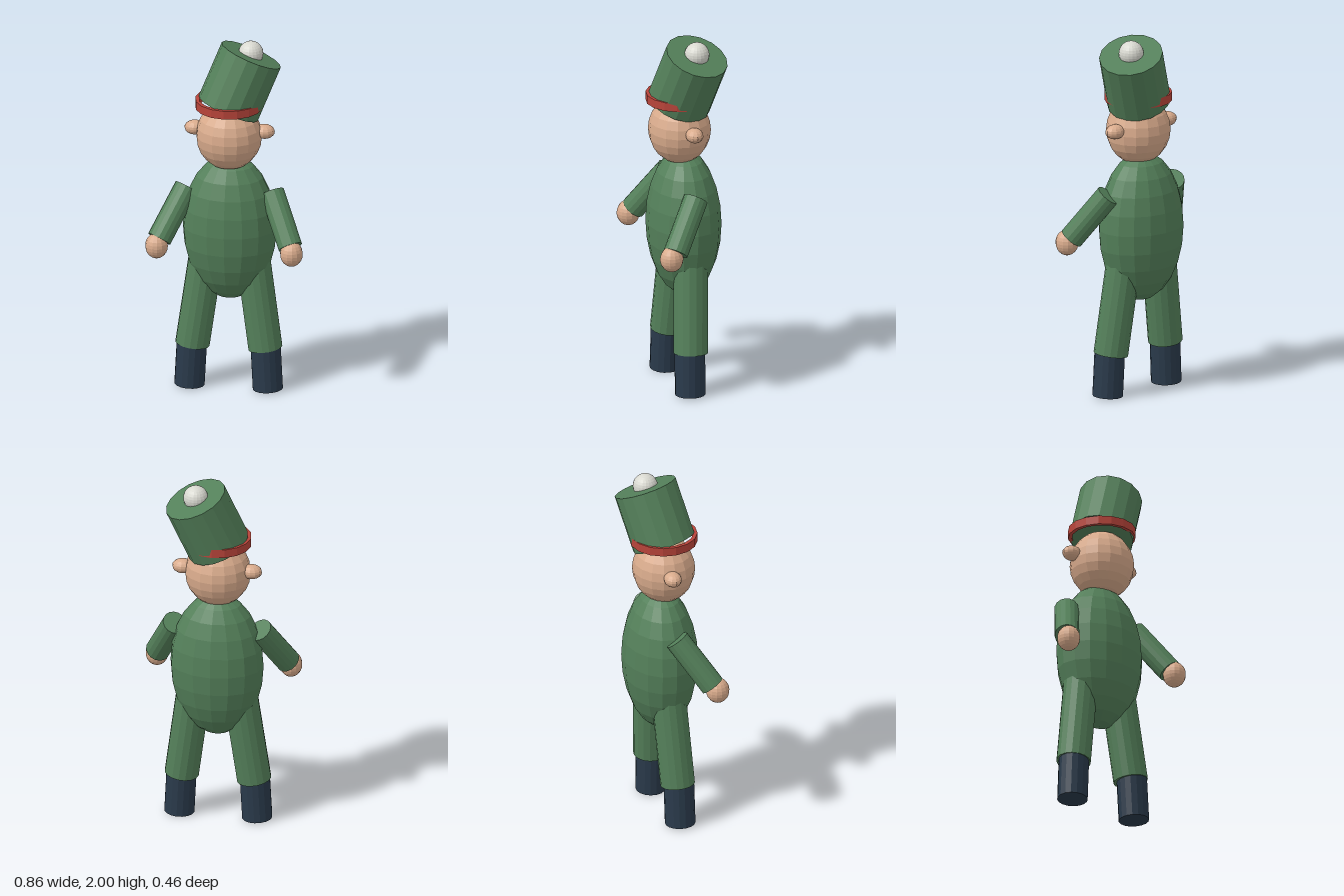
import * as THREE from 'three';

const paint = (name, color) => {
  const m = new THREE.MeshStandardMaterial({ color, flatShading: true });
  m.name = name;
  return m;
};

export function createModel() {
  const green = paint('uniform green', 0x54805a);
  const skin = paint('skin', 0xd9ab8c);
  const red = paint('band red', 0xb8443a);
  const white = paint('pompom white', 0xd8d8d0);
  const navy = paint('boot navy', 0x2a3a4b);

  const model = new THREE.Group();
  model.name = 'toySoldier';

  const add = (name, geometry, material) => {
    const mesh = new THREE.Mesh(geometry, material);
    mesh.name = name;
    model.add(mesh);
    return mesh;
  };

  // Ellipsoid from centre and three radii
  const ball = (name, material, centre, radii, w = 16, h = 12) => {
    const mesh = add(name, new THREE.SphereGeometry(1, w, h).scale(...radii), material);
    mesh.position.set(...centre);
    return mesh;
  };

  // Capped cylinder running from a up to b
  const rod = (name, material, a, b, radius, sides = 16) => {
    const from = new THREE.Vector3(...a);
    const to = new THREE.Vector3(...b);
    const axis = to.clone().sub(from);
    const mesh = add(name, new THREE.CylinderGeometry(radius, radius, axis.length(), sides), material);
    mesh.position.copy(from).add(to).multiplyScalar(0.5);
    mesh.quaternion.setFromUnitVectors(new THREE.Vector3(0, 1, 0), axis.normalize());
    return mesh;
  };

  // Body and head
  ball('body', green, [0, 0.93, -0.023], [0.257, 0.415, 0.2]);
  ball('head', skin, [0, 1.47, 0], [0.18, 0.19, 0.17]);

  // Tilted hat with pompom
  rod('hat', green, [-0.004, 1.628, 0], [0.112, 1.922, -0.063], 0.174);
  ball('pompom', white, [0.11, 1.932, -0.063], [0.068, 0.068, 0.068], 20, 14);

  // Level ring around the hat's lower edge
  const bandProfile = [[0.163, 1.636], [0.184, 1.636], [0.184, 1.684], [0.163, 1.684], [0.163, 1.636]]
    .map(([x, y]) => new THREE.Vector2(x, y));
  add('hatBand', new THREE.LatheGeometry(bandProfile, 16), red);

  // Mirrored ears and limbs
  for (const [side, s] of [['left', 1], ['right', -1]]) {
    ball(side + 'Ear', skin, [s * 0.19, 1.496, -0.022], [0.058, 0.04, 0.048], 12, 10);
    rod(side + 'Arm', green, [s * 0.36, 0.895, 0.142], [s * 0.235, 1.145, -0.015], 0.067);
    ball(side + 'Hand', skin, [s * 0.37, 0.867, 0.168], [0.062, 0.071, 0.064], 14, 12);
    rod(side + 'Leg', green, [s * 0.2, 0.24, 0.002], [s * 0.13, 0.745, -0.022], 0.094);
    rod(side + 'Boot', navy, [s * 0.215, 0.007, 0.011], [s * 0.202, 0.26, 0.008], 0.083);
  }

  return model;
}
